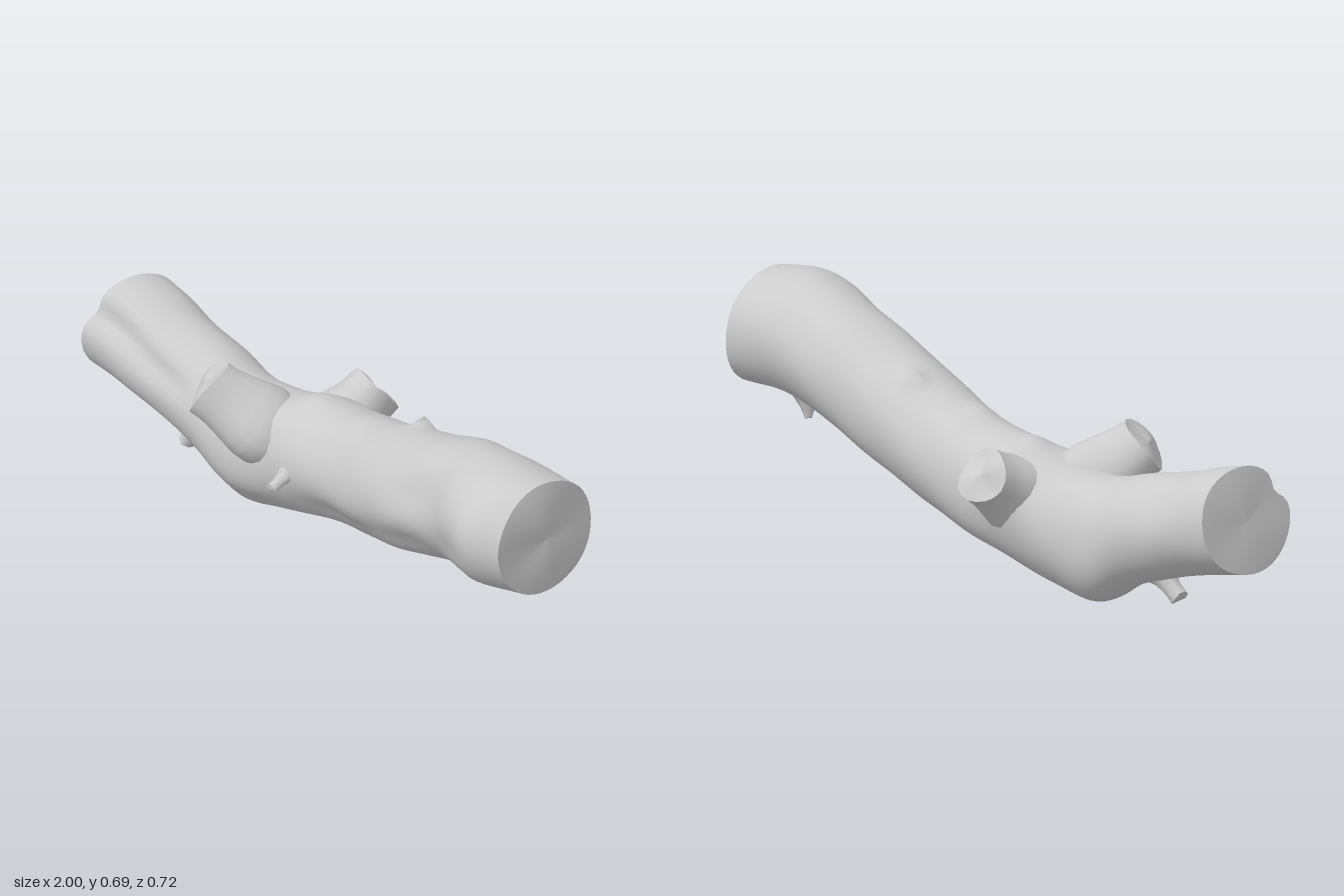
import * as THREE from 'three';

const material = new THREE.MeshStandardMaterial({ color: 0xcccccc, side: THREE.DoubleSide });
const SEG = 44;

// Trunk stations: x, bottom y, top y, back z, front z, x skew by y, x skew by z
const STATIONS = [
  [-0.955, 0.195, 0.512, -0.313, -0.006, 0.16, -0.28],
  [-0.85, 0.175, 0.487, -0.308, -0.001, 0.1, -0.15],
  [-0.72, 0.137, 0.45, -0.3, 0.006, 0, 0],
  [-0.58, 0.085, 0.415, -0.29, 0.012, 0, 0],
  [-0.48, 0.02, 0.385, -0.28, 0.024, 0, 0],
  [-0.4, 0.0, 0.375, -0.273, 0.035, 0, 0],
  [-0.28, 0.025, 0.39, -0.268, 0.052, 0, 0],
  [-0.12, 0.07, 0.43, -0.262, 0.068, 0, 0],
  [0.04, 0.105, 0.452, -0.235, 0.09, 0, 0],
  [0.2, 0.14, 0.5, -0.19, 0.147, 0, 0],
  [0.4, 0.2, 0.57, -0.145, 0.214, 0, 0],
  [0.6, 0.265, 0.64, -0.1, 0.257, 0, 0],
  [0.74, 0.302, 0.674, -0.064, 0.325, 0, 0],
  [0.85, 0.32, 0.686, -0.045, 0.358, -0.03, -0.03],
  [0.972, 0.328, 0.672, -0.036, 0.328, -0.05, -0.07],
];

// Smooth interpolation of the station table
function station(t) {
  const f = t * (STATIONS.length - 1);
  const i = Math.min(Math.floor(f), STATIONS.length - 2);
  const k = f - i;
  const at = n => STATIONS[Math.max(0, Math.min(STATIONS.length - 1, n))];
  return STATIONS[i].map((b, c) => {
    const a = at(i - 1)[c], d = at(i + 1)[c], e = at(i + 2)[c];
    return b + 0.5 * k * (d - a + k * (2 * a - 5 * b + 4 * d - e + k * (3 * (b - d) + e - a)));
  });
}

// Skin through closed rings of points
function loft(rings) {
  const n = rings[0].length, index = [];
  for (let i = 0; i < rings.length - 1; i++) {
    for (let j = 0; j < n; j++) {
      const a = i * n + j, b = i * n + (j + 1) % n;
      index.push(a, b, a + n, b, b + n, a + n);
    }
  }
  const g = new THREE.BufferGeometry().setFromPoints(rings.flat());
  g.setIndex(index);
  g.computeVertexNormals();
  return g;
}

// Slightly uneven cut face closing a ring; dir points outward
function cutFace(ring, dir, bulge) {
  const c = ring.reduce((s, p) => s.add(p), new THREE.Vector3()).divideScalar(ring.length);
  const rings = [1, 0.8, 0.5, 0.25, 0].map(s => ring.map((p, j) => {
    const a = j / ring.length * Math.PI * 2;
    const push = bulge * (1 - s * s) * (1 + 1.6 * s * Math.sin(2 * a + 1));
    return c.clone().lerp(p, s).addScaledVector(dir, push);
  }));
  return loft(rings);
}

function add(parent, name, geometry) {
  const mesh = new THREE.Mesh(geometry, material);
  mesh.name = name;
  parent.add(mesh);
}

// Hollows and knots on the bark: x, angle from top towards the front, depth, x reach, angle reach
const DENTS = [
  [0.5, 1.2, -0.016, 0.13, 0.35],
  [0.72, 1.9, -0.016, 0.09, 0.4],
  // flattened lower front
  [0.08, 2.25, -0.022, 0.25, 0.42],
  [0.45, 2.2, -0.016, 0.18, 0.4],
  [-0.38, 2.4, -0.012, 0.15, 0.35],
  // long groove above the front lip
  [-0.9, 1.05, -0.034, 0.13, 0.24],
  [-0.7, 1.2, -0.026, 0.13, 0.26],
  // swelling around the branch feet
  [-0.28, 0.7, 0.026, 0.09, 0.45],
  [-0.16, -1.15, 0.022, 0.09, 0.4],
  // small knots along the top
  [0.29, -0.42, 0.032, 0.03, 0.13],
  [0.07, 0.1, 0.012, 0.04, 0.3],
  [-0.16, 0.05, 0.012, 0.04, 0.3],
];

function trunkRing(t) {
  const [x, y0, y1, z0, z1, sy, sz] = station(t);
  return Array.from({ length: SEG }, (_, j) => {
    const a = j / SEG * Math.PI * 2;
    let r = 1 + 0.007 * Math.sin(3 * a + 5 * x) * Math.sin(9 * x + a)
      + 0.007 * Math.sin(5 * a - 13 * x) + 0.006 * Math.sin(2 * a + 27 * x);
    for (const [dx, da, depth, wx, wa] of DENTS) {
      const off = Math.atan2(Math.sin(a - da), Math.cos(a - da));
      r += depth / 0.17 * Math.exp(-(((x - dx) / wx) ** 2) - (off / wa) ** 2);
    }
    const y = (y1 - y0) / 2 * r * Math.cos(a), z = (z1 - z0) / 2 * r * Math.sin(a);
    return new THREE.Vector3(x + sy * y + sz * z, (y0 + y1) / 2 + y, (z0 + z1) / 2 + z);
  });
}

// Cut branch: flared foot, irregular round section and a jagged closed end
function branch(name, from, to, radii, sides) {
  const group = new THREE.Group();
  group.name = name;
  const start = new THREE.Vector3(...from), end = new THREE.Vector3(...to);
  const dir = end.clone().sub(start).normalize();
  const u = new THREE.Vector3(0.3, 1, 0.2).cross(dir).normalize();
  const v = dir.clone().cross(u);
  const rings = radii.map((radius, i) => {
    const t = i / (radii.length - 1);
    const c = start.clone().lerp(end, t);
    return Array.from({ length: sides }, (_, j) => {
      const a = j / sides * Math.PI * 2;
      const r = radius * (1 + 0.05 * Math.sin(3 * a + i * 0.4));
      const jag = 0.1 * radius * t ** 6 * Math.sin(2 * a + 0.6);
      return c.clone().addScaledVector(u, r * Math.cos(a)).addScaledVector(v, r * Math.sin(a))
        .addScaledVector(dir, jag);
    });
  });
  add(group, name + 'Bark', loft(rings));
  add(group, name + 'Cut', cutFace(rings[rings.length - 1], dir, radii[radii.length - 1] * 0.1));
  return group;
}

export function createModel() {
  const log = new THREE.Group();
  log.name = 'log';

  // Main trunk with both sawn ends
  const rings = Array.from({ length: 111 }, (_, i) => trunkRing(i / 110));
  add(log, 'trunkBark', loft(rings));
  add(log, 'leftCut', cutFace(rings[110], new THREE.Vector3(1, 0, 0), 0.012));
  add(log, 'rightCut', cutFace([...rings[0]].reverse(), new THREE.Vector3(-1, 0, 0), 0.005));

  // Two thick branch stubs
  log.add(branch('frontStub', [-0.23, 0.24, -0.075], [-0.442, 0.427, 0.06],
    [0.07, 0.1, 0.118, 0.118, 0.108, 0.097, 0.09, 0.089], 18));
  log.add(branch('backStub', [-0.165, 0.24, -0.1], [-0.135, 0.375, -0.316],
    [0.09, 0.105, 0.115, 0.114, 0.104, 0.093, 0.086, 0.084], 18));

  // Small broken twigs
  log.add(branch('lowerTwig', [-0.62, 0.14, -0.13], [-0.705, 0.066, -0.14], [0.055, 0.036, 0.028, 0.029], 8));
  log.add(branch('frontTwig', [-0.13, 0.25, 0.05], [-0.13, 0.226, 0.122], [0.03, 0.022, 0.017, 0.018], 7));
  log.add(branch('undersideTwig', [0.785, 0.36, 0.09], [0.768, 0.272, 0.072], [0.06, 0.04, 0.022, 0.01], 8));
  return log;
}
